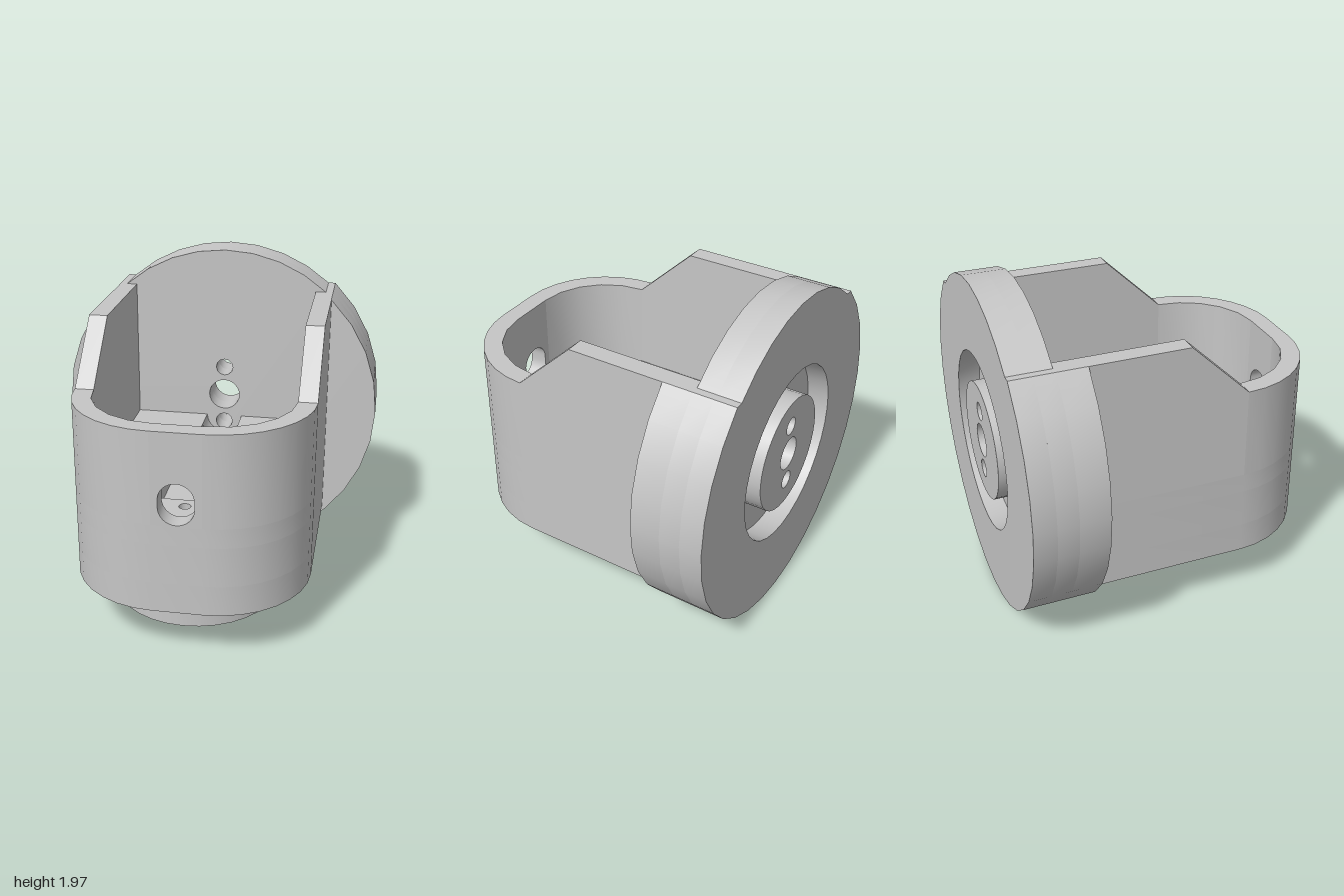
import * as THREE from 'three';
import { toCreasedNormals } from 'three/addons/utils/BufferGeometryUtils.js';

const grey = new THREE.MeshStandardMaterial({ color: 0xc6c6c6 });
grey.name = 'grey';

// Points along an arc, angles in degrees
function arc(cx, cy, r, from, to, step = 11.25) {
  const n = Math.max(2, Math.round(Math.abs(to - from) / step));
  return Array.from({ length: n + 1 }, (_, i) => {
    const a = THREE.MathUtils.degToRad(from + ((to - from) * i) / n);
    return [cx + r * Math.cos(a), cy + r * Math.sin(a)];
  });
}
const circle = (cx, cy, r, step = 15) => arc(cx, cy, r, 0, 360, step).slice(0, -1);

// Extrusion with the outline counterclockwise, so hole walls face inwards
function extrude(pts, holes, depth) {
  const toVectors = (list) => list.map(([x, y]) => new THREE.Vector2(x, y));
  const outer = toVectors(pts);
  if (THREE.ShapeUtils.isClockWise(outer)) outer.reverse();
  const shape = new THREE.Shape(outer);
  shape.holes = holes.map((h) => new THREE.Path(toVectors(h)));
  return new THREE.ExtrudeGeometry(shape, { depth, bevelEnabled: false });
}

export function createModel() {
  const model = new THREE.Group();
  const add = (name, geometry) => {
    const mesh = new THREE.Mesh(toCreasedNormals(geometry, 0.6), grey);
    mesh.name = name;
    model.add(mesh);
  };
  // Slab from (x, z) points between two heights
  const slab = (name, pts, holes, y0, y1) => {
    const flip = (list) => list.map(([x, z]) => [x, -z]);
    add(name, extrude(flip(pts), holes.map(flip), y1 - y0).rotateX(-Math.PI / 2).translate(0, y0, 0));
  };
  // Plate from (x, y) points between two depths
  const plate = (name, pts, holes, z0, z1, y = 0) =>
    add(name, extrude(pts, holes, z1 - z0).translate(0, y, z0));

  // Floor of the housing: keyhole level, recess level, groove level
  const body = [[0.69, -0.525], ...arc(0.14, 0.4, 0.55, 0, 90),
    ...arc(-0.14, 0.4, 0.55, 90, 180), [-0.69, -0.525]];
  const backPin = arc(0, -0.515, 0.035, 196.6, -16.6, 30);
  const frontPin = circle(0, 0.7, 0.035, 30);
  const keyhole = [...arc(0, 0.31, 0.29, -60, 240), ...arc(-0.115, 0.035, 0.032, 140, 270, 30),
    ...arc(0, 0.02, 0.11, 190, 350), ...arc(0.115, 0.035, 0.032, -90, 40, 30)];
  const recess = [[-0.29, -0.42], [0.29, -0.42], [0.29, 0.62], [-0.29, 0.62]];
  const grooveRecess = [[-0.115, -0.525], [-0.115, -0.42], [-0.29, -0.42], [-0.29, 0.62],
    [0.29, 0.62], [0.29, -0.42], [0.115, -0.42], [0.115, -0.525]];
  slab('floorBase', [...body, ...backPin], [keyhole, frontPin], 0.32, 0.5);
  slab('floorRecess', [...body, ...backPin], [recess, frontPin], 0.5, 0.735);
  slab('floorTop', [...body, ...grooveRecess], [frontPin], 0.735, 0.85);

  for (const s of [1, -1]) {
    // Rounded side of the cable groove
    const side = arc(0, 0.85, 0.115, -72, 0, 12).map(([x, y]) => [s * x, y]);
    plate('grooveSide', [[s * 0.0355, 0.735], ...side, [s * 0.115, 0.735]], [], -0.525, -0.42);

    // Rounded front corner of the wall
    const corner = [...arc(0.14, 0.4, 0.55, 0, 90), ...arc(0.14, 0.4, 0.44, 90, 0, 18)];
    slab('wallCorner', corner.map(([x, z]) => [s * x, z]), [], 0.85, 1.39);

    // Straight side wall with sloped shoulder
    const profile = [[-0.525, 0.85], [0.4, 0.85], [0.4, 1.39], [0.05, 1.725], [-0.525, 1.725]];
    add('sideWall', extrude(profile, [], 0.11).rotateY(-Math.PI / 2).translate(s > 0 ? 0.69 : -0.58, 0, 0));
  }

  // Flat front of the wall with its slot
  const slot = [...arc(0, 1, 0.1, 0, 180), ...arc(0, 0.957, 0.1, 180, 360)];
  plate('frontWall', [[-0.14, 0.85], [0.14, 0.85], [0.14, 1.39], [-0.14, 1.39]], [slot], 0.84, 0.95);

  // Collar under the floor
  slab('collar', circle(0, 0.315, 0.485, 11.25), [circle(0, 0.315, 0.4, 11.25)], 0.143, 0.32);

  // Round flange, centred on y = 1; the front layer is open for the housing
  const cut = THREE.MathUtils.radToDeg(Math.asin(0.725));
  const rim = [...arc(0, 0, 1, 180 - cut, 180), ...arc(0, 0, 1, 180, 360).slice(1),
    ...arc(0, 0, 1, 0, cut).slice(1)];
  plate('flangeFront', [...rim, [0.58, 0.725], [0.58, -0.15],
    ...arc(0, -0.15, 0.115, 360, 180, 15), [-0.58, -0.15], [-0.58, 0.725]], [], -0.7, -0.525, 1);

  const top = THREE.MathUtils.radToDeg(Math.asin(0.725 / 0.97));
  const disc = [...rim, ...arc(0, 0, 0.97, top, 180 - top, 10)];
  const bores = [circle(0, 0, 0.1), circle(0, 0.19, 0.055, 30), circle(0, -0.19, 0.055, 30)];
  plate('flangeWeb', disc, bores, -0.82, -0.7, 1);
  plate('flangeBack', disc, [circle(0, 0, 0.53, 11.25)], -0.95, -0.82, 1);
  plate('hubBoss', circle(0, 0, 0.35, 11.25), bores, -0.95, -0.82, 1);

  return model;
}
